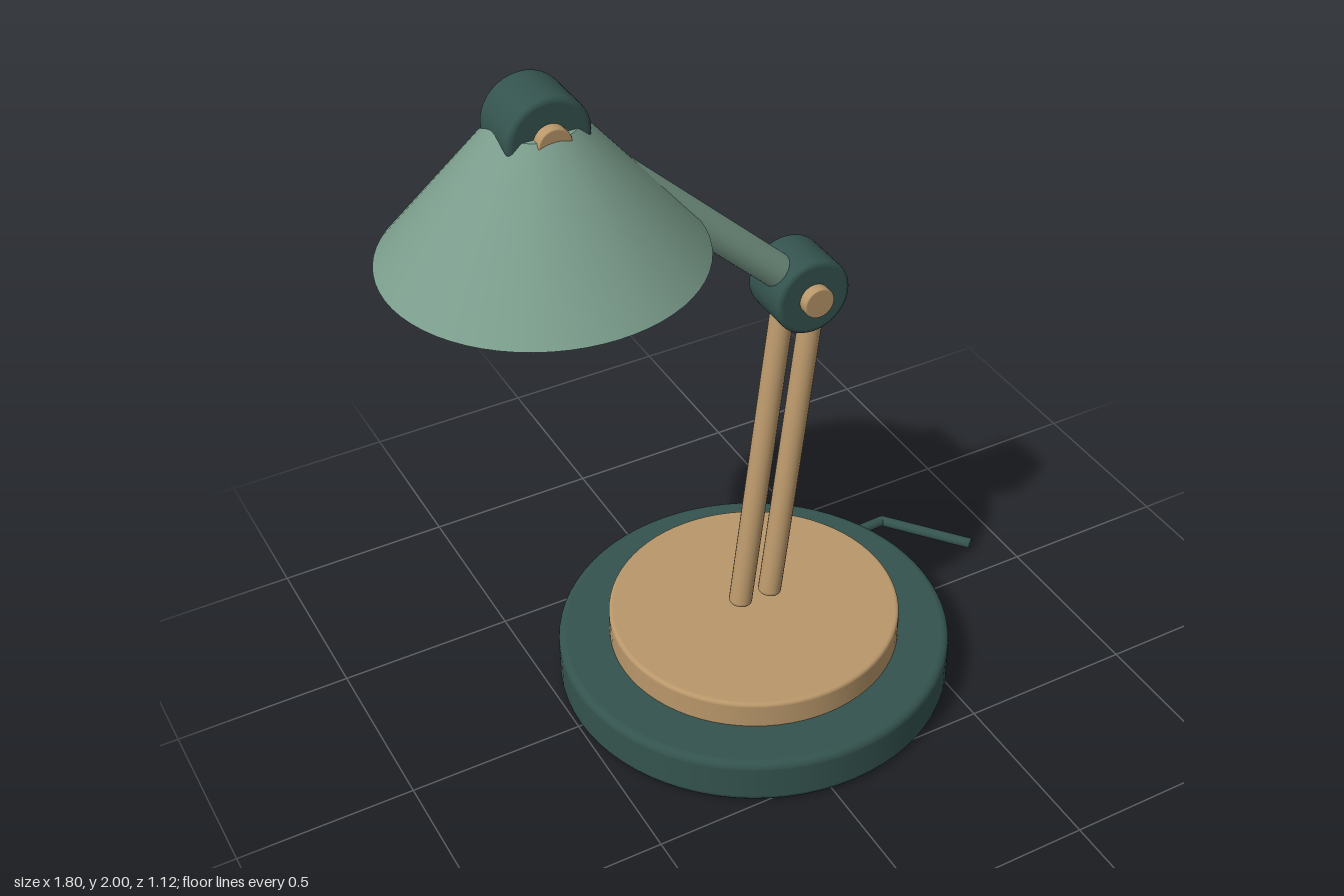
import * as THREE from 'three';

const material = (name, color) => {
  const m = new THREE.MeshStandardMaterial({ color });
  m.name = name;
  return m;
};

// Solid cylinder along y, centred, with softly rounded rims
function roundedCylinder(radius, height, bevel, segments = 48) {
  const h = height / 2, e = 0.001, pts = [];
  const add = (x, y) => pts.push(new THREE.Vector2(x, y));
  add(0, -h);
  add(radius - bevel - e, -h);
  for (let i = 0; i <= 4; i++) {
    const a = (i / 4) * Math.PI / 2;
    add(radius - bevel + bevel * Math.sin(a), -h + bevel - bevel * Math.cos(a));
  }
  add(radius, -h + bevel + e);
  add(radius, h - bevel - e);
  for (let i = 0; i <= 4; i++) {
    const a = (i / 4) * Math.PI / 2;
    add(radius - bevel + bevel * Math.cos(a), h - bevel + bevel * Math.sin(a));
  }
  add(radius - bevel - e, h);
  add(0, h);
  return new THREE.LatheGeometry(pts, segments);
}

export function createModel() {
  const group = new THREE.Group();
  const darkGreen = material('darkGreen', 0x34534e);
  const sage = material('sage', 0x7b9d8c);
  const wood = material('wood', 0xb9976a);
  const cream = material('cream', 0xdac8b8);

  const add = (name, geometry, mat, x, y, z) => {
    const mesh = new THREE.Mesh(geometry, mat);
    mesh.name = name;
    mesh.position.set(x, y, z);
    group.add(mesh);
    return mesh;
  };

  // Round bar running from point a to point b
  const bar = (name, a, b, radius, bevel, mat, segments = 20) => {
    const from = new THREE.Vector3(...a), to = new THREE.Vector3(...b);
    const dir = to.clone().sub(from);
    const mid = from.clone().add(to).multiplyScalar(0.5);
    const mesh = add(name, roundedCylinder(radius, dir.length(), bevel, segments), mat, mid.x, mid.y, mid.z);
    mesh.quaternion.setFromUnitVectors(new THREE.Vector3(0, 1, 0), dir.normalize());
    return mesh;
  };

  // Base
  add('base', roundedCylinder(0.56, 0.14, 0.02, 72), darkGreen, 0.065, 0.07, 0);
  add('basePlate', roundedCylinder(0.414, 0.1, 0.01, 72), wood, 0.065, 0.17, 0);

  // Twin lower rods
  for (const [name, x] of [['leftRod', 0.115], ['rightRod', 0.02]]) {
    bar(name, [x, 0.24, 0], [x + 0.165, 1.18, -0.063], 0.033, 0.012, wood);
  }

  // Upper arm, slightly oval, reaching into the shade
  const arm = bar('upperArm', [0.235, 1.215, -0.07], [-0.47, 1.885, -0.07], 0.056, 0.01, sage, 28);
  arm.scale.x = 0.84;

  // Pivot drums at the elbow and head, each with a wooden knob in front
  for (const [name, x, y] of [['elbow', 0.235, 1.215], ['head', -0.49, 1.89]]) {
    add(name + 'Joint', roundedCylinder(0.11, 0.162, 0.014), darkGreen, x, y, -0.07).rotation.x = Math.PI / 2;
    add(name + 'Knob', roundedCylinder(0.044, 0.08, 0.004, 24), wood, x, y, 0).rotation.x = Math.PI / 2;
  }

  // Conical shade, closed, with a thin light panel below
  add('shade', new THREE.CylinderGeometry(0.108, 0.411, 0.37, 64), sage, -0.49, 1.718, -0.07);
  add('lightPanel', new THREE.CylinderGeometry(0.372, 0.372, 0.03, 64), cream, -0.49, 1.533, -0.07);

  // Cord leaving the back of the base with one sharp bend
  const bend = [0.705, 0.035, -0.315];
  bar('cordStart', [0.46, 0.05, -0.29], bend, 0.016, 0.003, darkGreen, 12);
  bar('cordEnd', bend, [0.885, 0.035, -0.09], 0.016, 0.003, darkGreen, 12);
  add('cordBend', new THREE.SphereGeometry(0.016, 12, 8), darkGreen, ...bend);

  return group;
}
